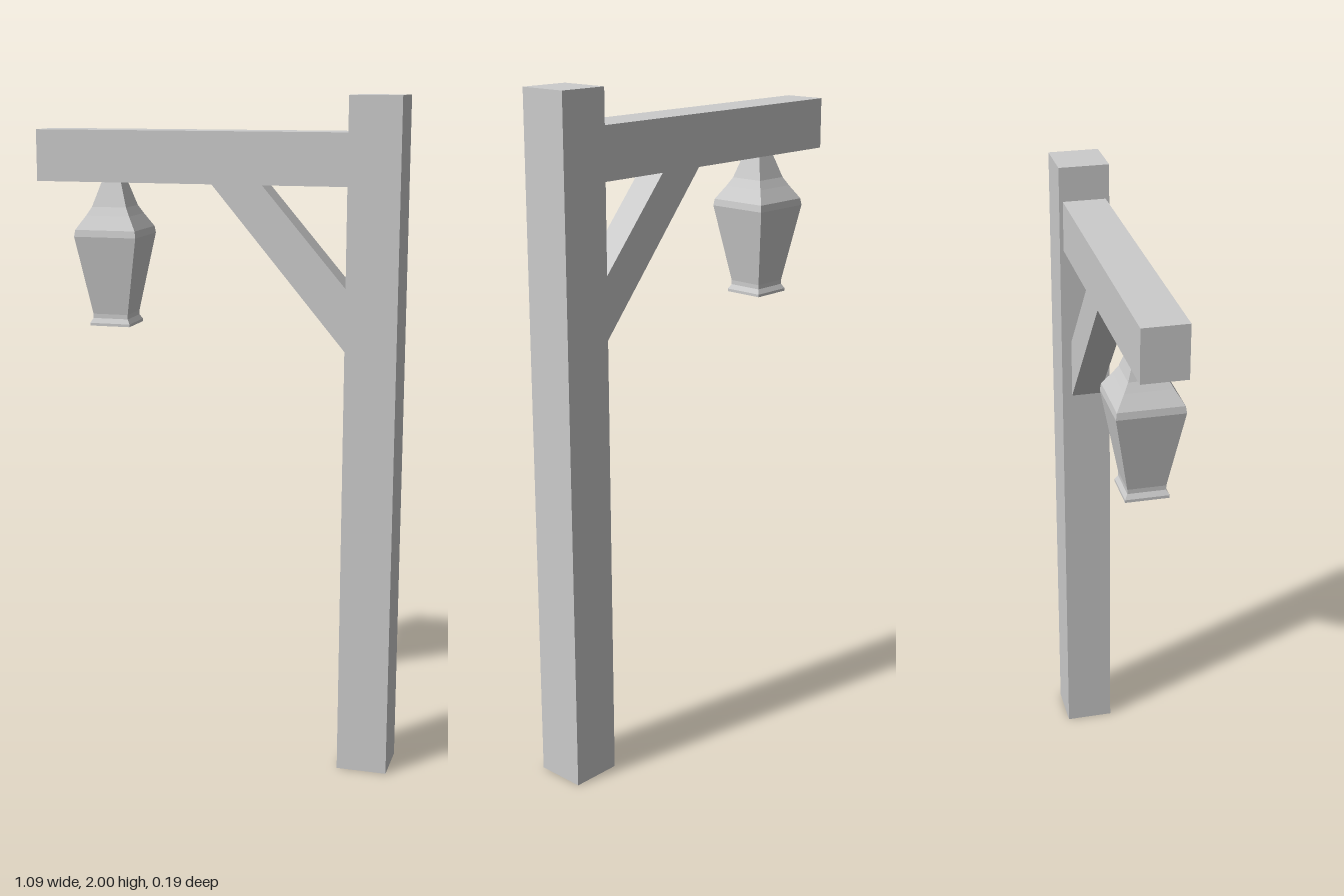
import * as THREE from 'three';

const material = new THREE.MeshStandardMaterial({ color: 0xcccccc, flatShading: true });

function add(group, name, geometry, x = 0, y = 0, z = 0) {
  const mesh = new THREE.Mesh(geometry, material);
  mesh.name = name;
  mesh.position.set(x, y, z);
  group.add(mesh);
}

export function createModel() {
  const group = new THREE.Group();
  group.name = 'lanternPost';

  // Upright post and horizontal beam
  add(group, 'post', new THREE.BoxGeometry(0.15, 2, 0.15), 0.465, 1, 0);
  add(group, 'beam', new THREE.BoxGeometry(0.935, 0.15, 0.128), -0.0775, 1.823, 0);

  // Diagonal brace, cut flush against the beam and the post
  const outline = new THREE.Shape([
    [-0.015, 1.748], [0.39, 1.27], [0.39, 1.452], [0.135, 1.748],
  ].map(([x, y]) => new THREE.Vector2(x, y)));
  const thickness = 0.09;
  add(group, 'brace', new THREE.ExtrudeGeometry(outline, { depth: thickness, bevelEnabled: false }), 0, 0, -thickness / 2);

  // Square lantern: [half width, height] profile turned in four sides
  const profile = [
    [0, 1.323], [0.062, 1.323], [0.062, 1.331], [0.054, 1.345], [0.054, 1.358],
    [0.095, 1.59], [0.092, 1.61], [0.067, 1.65], [0.053, 1.675], [0.029, 1.75], [0, 1.75],
  ].map(([w, y]) => new THREE.Vector2(w * Math.SQRT2, y));
  add(group, 'lantern', new THREE.LatheGeometry(profile, 4, Math.PI / 4), -0.325, 0, 0);

  return group;
}
